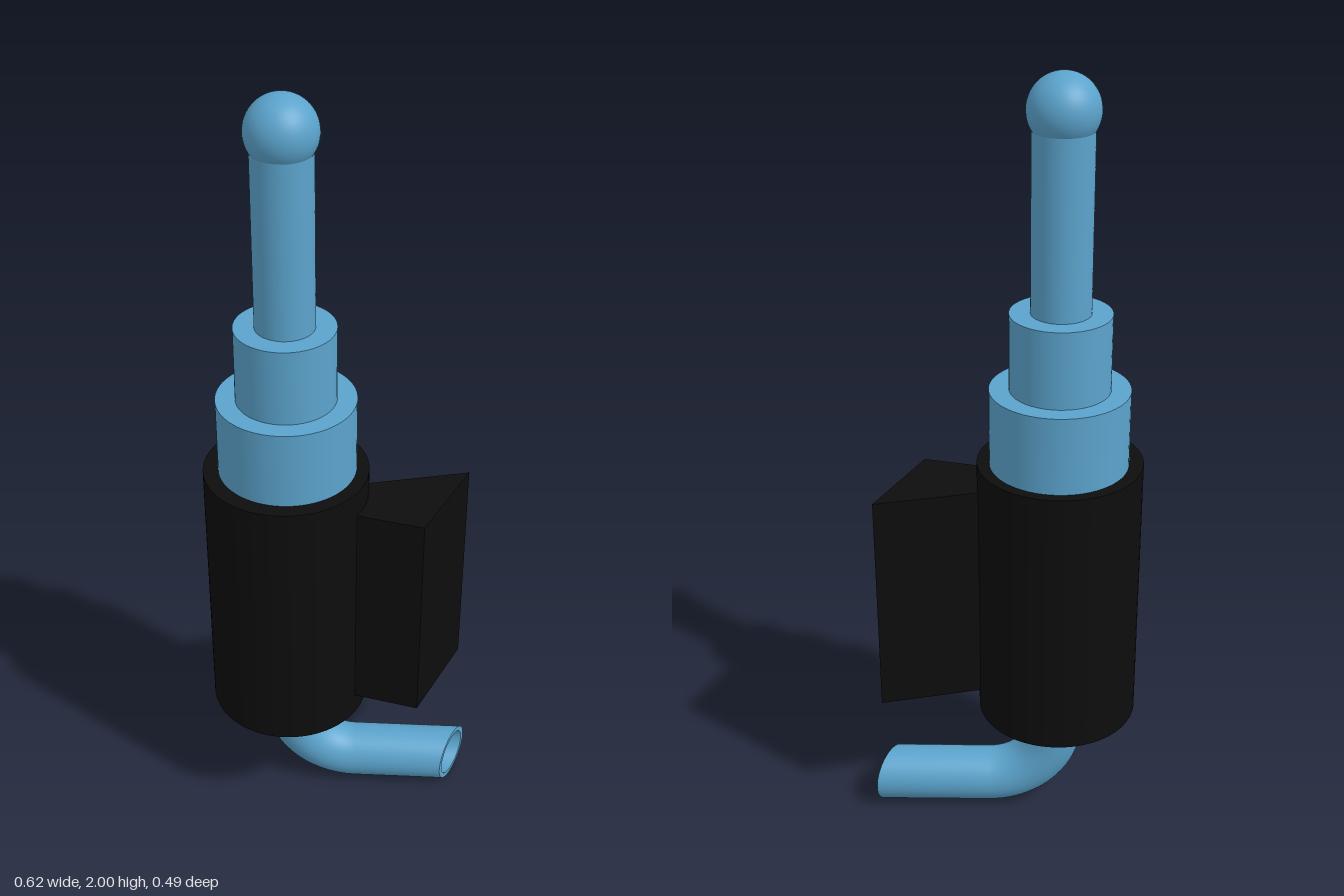
import * as THREE from 'three';

const AXIS_X = -0.101, AXIS_Z = 0.032;

export function createModel() {
  const model = new THREE.Group();
  model.name = 'steppedProbe';
  const blue = new THREE.MeshStandardMaterial({ color: 0x5ba3cc });
  const blueOpen = new THREE.MeshStandardMaterial({ color: 0x5ba3cc, side: THREE.DoubleSide });
  const black = new THREE.MeshStandardMaterial({ color: 0x0d0d0d });

  const add = (name, geometry, material, x = 0, y = 0, z = 0) => {
    const mesh = new THREE.Mesh(geometry, material);
    mesh.name = name;
    mesh.position.set(x, y, z);
    model.add(mesh);
    return mesh;
  };
  const column = (name, r, y0, y1, material, z = AXIS_Z) =>
    add(name, new THREE.CylinderGeometry(r, r, y1 - y0, 64), material, AXIS_X, (y0 + y1) / 2, z);

  // Stepped column with a ball on top
  column('lowerCollar', 0.173, 1.0, 1.24, blue);
  column('upperCollar', 0.124, 1.24, 1.435, blue);
  column('stem', 0.073, 1.435, 1.9, blue);
  add('ballTip', new THREE.SphereGeometry(0.086, 48, 32), blue, AXIS_X, 1.914, AXIS_Z);

  // Dark sleeve
  column('sleeve', 0.207, 0.315, 1.04, black, 0.039);

  // Flared side block, its narrow end buried in the sleeve
  const plan = [[0.03, -0.055], [0.273, -0.247], [0.273, 0.022], [0.03, 0.068]];
  const shape = new THREE.Shape(plan.map(([x, z]) => new THREE.Vector2(x, -z)));
  const block = new THREE.ExtrudeGeometry(shape, { depth: 0.595, bevelEnabled: false });
  block.rotateX(-Math.PI / 2);
  add('sideBlock', block, black, 0, 0.375, 0);

  // Hollow elbow pipe: down, around a quarter bend, then out to an end cut square to x
  const angle = 0.431, bend = 0.18, yPipe = 0.0735, endX = 0.308, sides = 40;
  const dir = new THREE.Vector3(Math.cos(angle), 0, -Math.sin(angle));
  const at = (d, y) => new THREE.Vector3(AXIS_X, y, AXIS_Z).addScaledVector(dir, d);
  const runEnd = (endX - AXIS_X) / dir.x;

  // Rings of the pipe, each given by its centre and its in-plane "outward" axis
  const stations = [{ c: at(0, 0.4), u: dir.clone() }];
  for (let i = 0; i <= 24; i++) {
    const t = (i / 24) * Math.PI / 2;
    stations.push({
      c: at(bend * (1 - Math.cos(t)), yPipe + bend * (1 - Math.sin(t))),
      u: dir.clone().multiplyScalar(Math.cos(t)).add(new THREE.Vector3(0, Math.sin(t), 0)),
    });
  }
  stations.push({ c: at(runEnd, yPipe), u: new THREE.Vector3(0, 1, 0), cut: true });
  const across = new THREE.Vector3(0, 1, 0).cross(dir);

  const ring = (s, r) => Array.from({ length: sides + 1 }, (_, j) => {
    const a = (j / sides) * Math.PI * 2;
    const p = s.c.clone().addScaledVector(s.u, r * Math.cos(a)).addScaledVector(across, r * Math.sin(a));
    if (s.cut) p.addScaledVector(dir, (endX - p.x) / dir.x);
    return p;
  });
  const loft = (rings, inward) => {
    const pos = [], index = [], n = sides + 1;
    rings.forEach((r) => r.forEach((p) => pos.push(p.x, p.y, p.z)));
    for (let i = 0; i < rings.length - 1; i++) {
      for (let j = 0; j < sides; j++) {
        const a = i * n + j, b = a + 1, c = a + n, d = c + 1;
        if (inward) index.push(a, c, b, b, c, d);
        else index.push(a, b, c, b, d, c);
      }
    }
    const g = new THREE.BufferGeometry();
    g.setAttribute('position', new THREE.Float32BufferAttribute(pos, 3));
    g.setIndex(index);
    g.computeVertexNormals();
    // Match normals across the seam
    const nor = g.attributes.normal;
    for (let i = 0; i < rings.length; i++) {
      const p = i * n, q = p + sides;
      const v = new THREE.Vector3().fromBufferAttribute(nor, p)
        .add(new THREE.Vector3().fromBufferAttribute(nor, q)).normalize();
      nor.setXYZ(p, v.x, v.y, v.z);
      nor.setXYZ(q, v.x, v.y, v.z);
    }
    return g;
  };
  const outer = 0.0735, inner = 0.06, last = stations[stations.length - 1];
  add('pipeOuter', loft(stations.map((s) => ring(s, outer)), false), blueOpen);
  add('pipeBore', loft(stations.map((s) => ring(s, inner)), true), blueOpen);
  add('pipeRim', loft([ring(last, outer), ring(last, inner)], false), blueOpen);

  return model;
}
